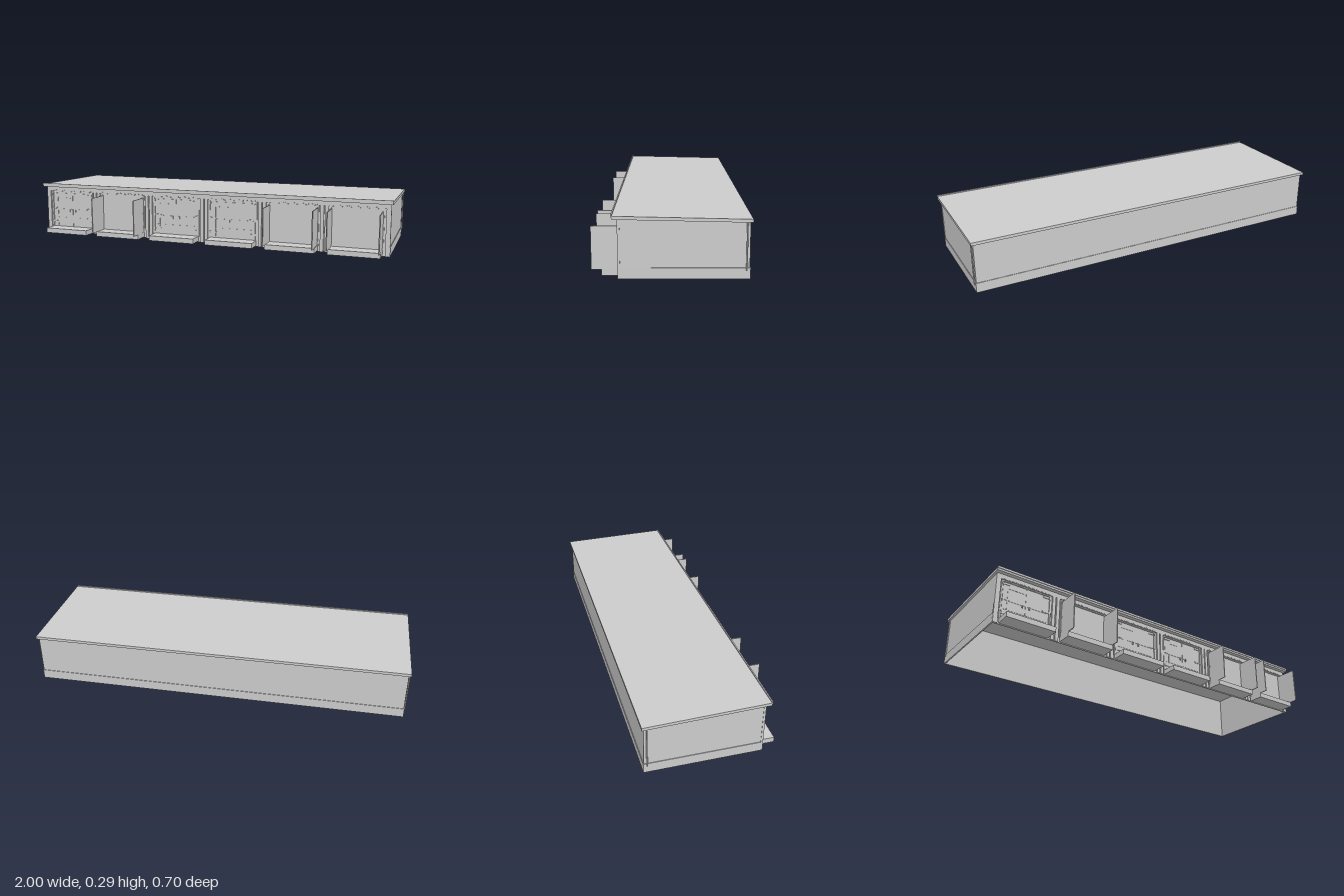
import * as THREE from 'three';

const mat = new THREE.MeshStandardMaterial({ color: 0xcccccc, flatShading: true });

// Box given by its min/max on each axis
function box(parent, name, x0, x1, y0, y1, z0, z1) {
  const m = new THREE.Mesh(new THREE.BoxGeometry(x1 - x0, y1 - y0, z1 - z0), mat);
  m.position.set((x0 + x1) / 2, (y0 + y1) / 2, (z0 + z1) / 2);
  m.name = name;
  parent.add(m);
  return m;
}

// Side profile of [z, y] points swept from x0 to x1
function sweep(parent, name, points, x0, x1) {
  const shape = new THREE.Shape(points.map(([z, y]) => new THREE.Vector2(z, y)));
  const geo = new THREE.ExtrudeGeometry(shape, { depth: x1 - x0, bevelEnabled: false });
  geo.rotateY(-Math.PI / 2);
  geo.translate(x1, 0, 0);
  const m = new THREE.Mesh(geo, mat);
  m.name = name;
  parent.add(m);
}

function group(parent, name, x = 0) {
  const g = new THREE.Group();
  g.name = name;
  g.position.x = x;
  parent.add(g);
  return g;
}

const HALF = 0.128;      // half width of a doorway
const FACE = 0.226;      // front wall plane

// Surround, ramp and vents shared by every bay
function bayBase(bay) {
  box(bay, 'ramp', -0.131, 0.131, 0.005, 0.032, FACE, 0.308);
  for (const s of [-1, 1]) {
    const a = s * HALF, b = s * (HALF + 0.008);
    box(bay, 'doorJamb', Math.min(a, b), Math.max(a, b), 0.03, 0.24, FACE - 0.002, 0.231);
  }
  box(bay, 'doorHead', -HALF - 0.008, HALF + 0.008, 0.234, 0.24, FACE - 0.002, 0.231);
  for (let i = 0; i < 12; i++) {
    const x = -0.121 + i * 0.022;
    box(bay, 'ventSlot', x - 0.006, x + 0.006, 0.243, 0.248, 0.234, 0.237);
  }
}

// Two shut leaves with hinges, a wicket outline and handles
function closedDoors(bay) {
  for (const s of [-1, 1]) {
    const span = (name, a, b, y0, y1, z0, z1) =>
      box(bay, name, Math.min(s * a, s * b), Math.max(s * a, s * b), y0, y1, z0, z1);
    span('doorLeaf', 0.0015, HALF - 0.002, 0.033, 0.229, FACE - 0.002, 0.229);
    for (const y of [0.062, 0.14, 0.222]) {
      span('strapHinge', 0.09, HALF, y - 0.003, y + 0.003, 0.228, 0.2315);
      span('hingePin', HALF - 0.004, HALF + 0.003, y - 0.006, y + 0.006, 0.228, 0.234);
    }
    for (const y of [0.085, 0.135]) span('crossRail', 0.004, 0.115, y - 0.0015, y + 0.0015, 0.228, 0.2305);
    span('handle', 0.016, 0.022, 0.121, 0.135, 0.228, 0.235);
  }
  box(bay, 'wicketHead', -0.1, -0.015, 0.2, 0.203, 0.228, 0.2305);
  box(bay, 'wicketSide', -0.1, -0.097, 0.04, 0.203, 0.228, 0.2305);
  box(bay, 'meetingStrip', -0.002, 0.002, 0.033, 0.229, 0.228, 0.231);
}

// Two leaves swung straight out
function openDoors(bay) {
  for (const s of [-1, 1]) {
    box(bay, 'openLeaf', s * HALF - 0.0025, s * HALF + 0.0025, 0.031, 0.228, 0.228, 0.353);
    for (const y of [0.062, 0.14, 0.222])
      box(bay, 'hingePin', s * 0.131 - 0.003, s * 0.131 + 0.003, y - 0.006, y + 0.006, 0.228, 0.237);
  }
}

export function createModel() {
  const root = new THREE.Group();
  root.name = 'garageRow';

  // Shell, open underneath
  const shell = group(root, 'shell');
  box(shell, 'frontWall', -0.988, 0.988, 0, 0.266, 0.222, FACE);
  box(shell, 'backWall', -0.988, 0.988, 0, 0.255, -0.342, -0.338);
  box(shell, 'backPlinth', -0.991, 0.991, 0, 0.05, -0.345, -0.341);
  for (const s of [-1, 1]) {
    const x = s * 0.986;
    sweep(shell, 'sideWall', [[-0.342, 0], [0.228, 0], [0.228, 0.267], [-0.342, 0.254]], x - 0.002, x + 0.002);
    box(shell, 'sidePlinth', s * 0.989 - 0.002, s * 0.989 + 0.002, 0, 0.05, -0.345, 0.23);
    // Rain pipe near the back corner
    const pipe = new THREE.Mesh(new THREE.CylinderGeometry(0.0035, 0.0035, 0.219, 8), mat);
    pipe.position.set(s * 0.9935, 0.1475, -0.328);
    pipe.name = 'rainPipe';
    shell.add(pipe);
  }

  // Sloping roof slab and front lip
  const roof = group(root, 'roof');
  sweep(roof, 'roofSlab', [[-0.352, 0.253], [0.258, 0.267], [0.258, 0.282], [-0.352, 0.268]], -1, 1);
  box(roof, 'frontLip', -1, 1, 0.277, 0.288, 0.256, 0.262);

  // Lintel and paired pilasters
  const facade = group(root, 'facade');
  box(facade, 'lintel', -0.99, 0.99, 0.241, 0.2665, 0.224, 0.235);
  for (const x of [-0.661, -0.331, 0, 0.327, 0.658])
    for (const s of [-1, 1])
      box(facade, 'pilaster', x + s * 0.012 - 0.009, x + s * 0.012 + 0.009, 0, 0.2415, 0.224, 0.235);
  for (const s of [-1, 1])
    box(facade, 'cornerPilaster', s * 0.978 - 0.012, s * 0.978 + 0.012, 0, 0.2415, 0.224, 0.235);

  // Six bays; true marks the open ones
  const bays = [[-0.825, false], [-0.496, true], [-0.167, false], [0.163, false], [0.493, true], [0.821, true]];
  for (const [x, open] of bays) {
    const bay = group(root, open ? 'openBay' : 'closedBay', x);
    bayBase(bay);
    (open ? openDoors : closedDoors)(bay);
  }
  return root;
}
